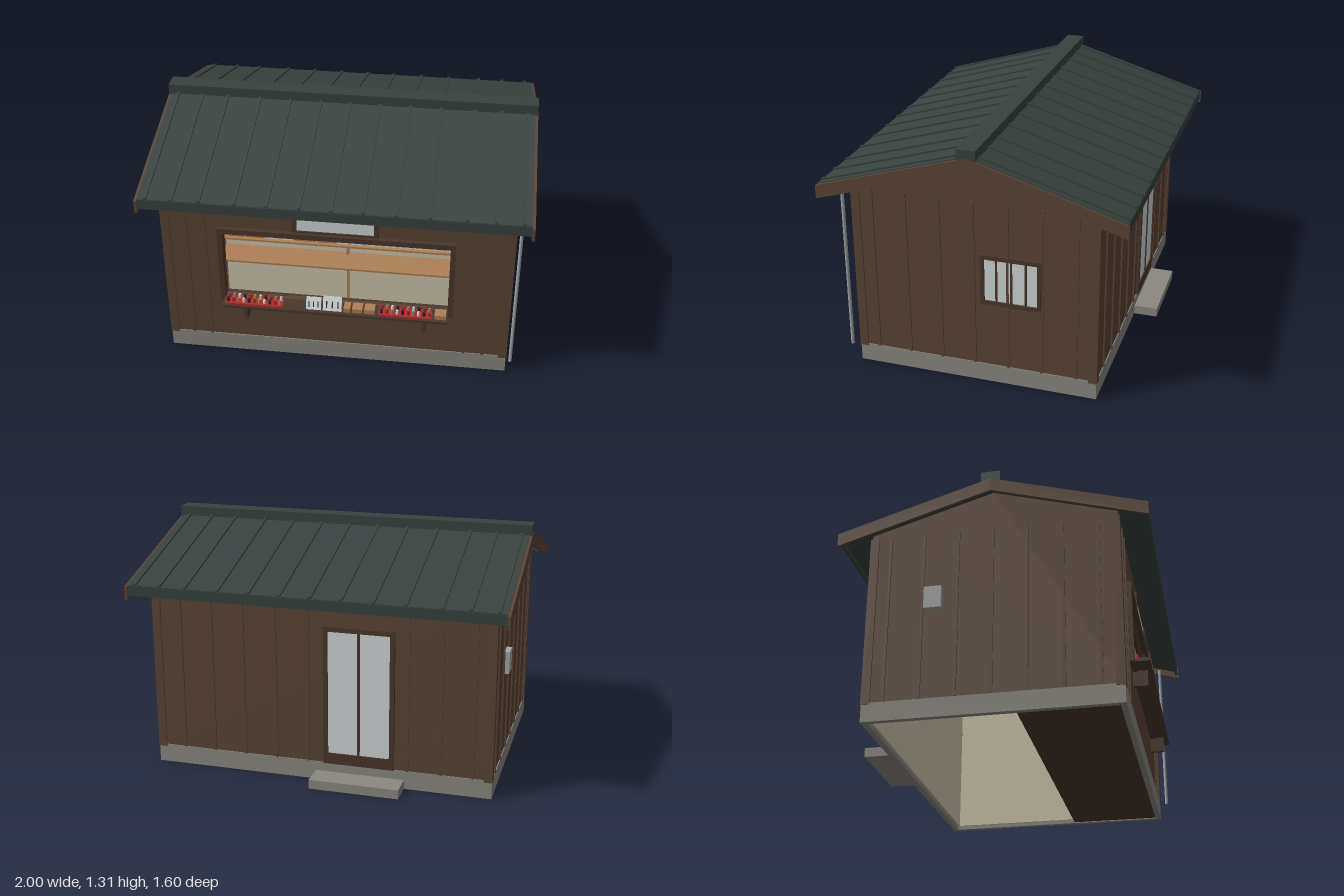
import * as THREE from 'three';

const paint = (name, color) => {
  const m = new THREE.MeshStandardMaterial({ color });
  m.name = name;
  return m;
};

export function createModel() {
  const wall = paint('wall brown', 0x5a4536), trim = paint('dark trim brown', 0x49372b);
  const roofing = paint('roof slate', 0x38423f), stone = paint('foundation grey', 0x8a8880);
  const cream = paint('interior cream', 0xd0c7ae), pale = paint('pale glass', 0xd2d8d9);
  const wood = paint('light wood', 0xad8155), red = paint('red', 0xb02b2b);
  const metal = paint('metal grey', 0xa2a5a6), black = paint('black', 0x26292c);
  const model = new THREE.Group();
  model.name = 'kiosk';

  const add = (name, geo, mat, parent = model) => {
    const mesh = new THREE.Mesh(geo, mat);
    mesh.name = name;
    parent.add(mesh);
    return mesh;
  };
  // Box given by its extents on each axis
  const box = (name, mat, x0, x1, y0, y1, z0, z1, parent) => {
    const geo = new THREE.BoxGeometry(x1 - x0, y1 - y0, z1 - z0);
    geo.translate((x0 + x1) / 2, (y0 + y1) / 2, (z0 + z1) / 2);
    return add(name, geo, mat, parent);
  };
  // Rectangular frame in the xy plane
  const rect = (P, x0, x1, y0, y1) => {
    const p = new P();
    p.moveTo(x0, y0); p.lineTo(x1, y0); p.lineTo(x1, y1); p.lineTo(x0, y1); p.closePath();
    return p;
  };
  const frame = (name, mat, outer, inner, z0, z1, parent) => {
    const s = rect(THREE.Shape, ...outer);
    s.holes.push(rect(THREE.Path, ...inner));
    const geo = new THREE.ExtrudeGeometry(s, { depth: z1 - z0, bevelEnabled: false });
    geo.translate(0, 0, z0);
    return add(name, geo, mat, parent);
  };
  // Profile of (z, y) points extruded from x0 to x1
  const alongX = (name, mat, pts, x0, x1) => {
    const s = new THREE.Shape(pts.map(p => new THREE.Vector2(...p)));
    const geo = new THREE.ExtrudeGeometry(s, { depth: x1 - x0, bevelEnabled: false });
    geo.rotateY(Math.PI / 2).translate(x0, 0, 0);
    return add(name, geo, mat);
  };

  // Foundation ring and shop floor
  const base = frame('foundation', stone, [-0.92, 0.92, -0.645, 0.645], [-0.89, 0.89, -0.615, 0.615], 0, 0.1);
  base.rotation.x = -Math.PI / 2;
  box('shopFloor', trim, -0.89, 0.89, 0.005, 0.02, 0.12, 0.615);
  box('backStep', stone, -0.46, 0.02, 0, 0.05, -0.775, -0.64);

  // Outer walls
  frame('frontWall', wall, [-0.915, 0.915, 0.1, 1.04], [-0.595, 0.595, 0.37, 0.775], 0.61, 0.64);
  box('backWall', wall, -0.915, 0.915, 0.1, 1.04, -0.64, -0.61);
  for (const s of [-1, 1]) {
    alongX('gableWall', wall, [[-0.64, 0.1], [0.64, 0.1], [0.64, 1.045], [0, 1.235], [-0.64, 1.045]],
      s > 0 ? 0.885 : -0.915, s > 0 ? 0.915 : -0.885);
    box('sideLining', cream, s * 0.882 - 0.004, s * 0.882 + 0.004, 0.02, 1, -0.61, 0.61);
  }
  box('backLining', cream, -0.88, 0.88, 0.02, 1, -0.61, -0.602);
  box('partition', cream, -0.88, 0.88, 0.01, 1, 0.12, 0.135);
  box('ceiling', cream, -0.88, 0.88, 0.99, 1, -0.61, 0.61);

  // Corner boards and battens
  const b = 0.007;
  for (const sx of [-1, 1]) {
    for (const sz of [-1, 1]) {
      const x = sx * 0.9, z = sz * 0.625;
      box('cornerBoard', wall, x - 0.023, x + 0.023, 0.09, 1.02, z - 0.023, z + 0.023);
    }
    for (let i = -3; i <= 3; i++)
      box('sideBatten', wall, sx * 0.918 - 0.005, sx * 0.918 + 0.005, 0.1, 1.012, i * 0.179 - b, i * 0.179 + b);
    for (const x of [0.69, 0.79])
      box('frontBatten', wall, sx * x - b, sx * x + b, 0.1, 1.02, 0.638, 0.648);
  }
  for (const x of [0.765, 0.59, 0.415, 0.237, 0.06, -0.475, -0.65, -0.82])
    box('backBatten', wall, x - b, x + b, 0.1, 1.02, -0.648, -0.638);

  // Roof: slabs, standing seams, ridge cap, fascias, barge boards
  const k = 0.3, E = 0.79;
  const chevron = (top, bottom, e) => [[-e, bottom - k * e], [0, bottom], [e, bottom - k * e],
    [e, top - k * e], [0, top], [-e, top - k * e]];
  alongX('roof', roofing, chevron(1.273, 1.238, E), -0.985, 0.985);
  for (const x of [0, 0.16, 0.325, 0.49, 0.67, 0.81, 0.945])
    for (const s of x ? [-1, 1] : [1])
      alongX('roofSeam', roofing, chevron(1.283, 1.265, E), s * x - 0.008, s * x + 0.008);
  box('ridgeCap', roofing, -0.998, 0.998, 1.25, 1.31, -0.05, 0.05);
  for (const s of [-1, 1]) {
    box('eaveFascia', roofing, -0.985, 0.985, 0.98, 1.034, s * 0.787 - 0.007, s * 0.787 + 0.007);
    alongX('bargeBoard', wall, chevron(1.268, 1.197, 0.8), s * 0.9925 - 0.0075, s * 0.9925 + 0.0075);
  }

  // Serving hatch: frame, counter, brackets, window above
  frame('hatchFrame', trim, [-0.622, 0.622, 0.35, 0.805], [-0.595, 0.595, 0.37, 0.775], 0.605, 0.665);
  box('counter', trim, -0.6, 0.6, 0.355, 0.37, 0.6, 0.74);
  for (const s of [-1, 1])
    box('counterBracket', trim, s * 0.475 - 0.009, s * 0.475 + 0.009, 0.27, 0.355, 0.64, 0.717);
  frame('transomFrame', trim, [-0.225, 0.225, 0.81, 0.957], [-0.2, 0.2, 0.82, 0.945], 0.64, 0.656);
  box('transomGlass', pale, -0.2, 0.2, 0.82, 0.945, 0.64, 0.648);

  // Barred side window, built facing +z and turned towards +x
  const win = new THREE.Group();
  win.name = 'sideWindow';
  frame('windowFrame', trim, [-0.158, 0.158, 0.46, 0.735], [-0.138, 0.138, 0.48, 0.712], 0, 0.018, win);
  box('windowGlass', pale, -0.138, 0.138, 0.48, 0.712, 0, 0.008, win);
  for (const x of [-0.075, 0.003, 0.078])
    box('windowBar', trim, x - 0.005, x + 0.005, 0.48, 0.712, 0, 0.015, win);
  win.rotation.y = Math.PI / 2;
  win.position.set(0.915, 0, -0.197);
  model.add(win);

  // Back glass door
  frame('doorFrame', trim, [-0.405, -0.025, 0.1, 0.855], [-0.38, -0.05, 0.16, 0.83], -0.655, -0.64);
  box('doorGlass', pale, -0.38, -0.05, 0.16, 0.83, -0.648, -0.64);
  box('doorMullion', trim, -0.222, -0.208, 0.16, 0.83, -0.654, -0.64);

  // Meter box and downpipe
  box('meterBox', metal, -0.945, -0.915, 0.58, 0.7, -0.345, -0.255);
  const pipe = add('downpipe', new THREE.CylinderGeometry(0.009, 0.009, 0.9, 12), metal);
  pipe.position.set(0.942, 0.553, 0.683);

  // Shelving
  const zs = 0.135, ze = 0.3;
  for (const y of [0.343, 0.495, 0.65]) box('shelf', wood, -0.72, 0.72, y - 0.005, y + 0.006, zs, ze);
  for (const x of [-0.72, 0, 0.72]) box('shelfPost', wood, x - 0.006, x + 0.006, 0.02, 0.73, zs, zs + (x ? 0.165 : 0.03));

  // Goods: w = wooden crate, r = red-lidded box, s = small tray, b = bottle
  const goods = (y, list) => {
    for (const [type, x0, x1] of list) {
      if (type === 'w') box('crate', wood, x0, x1, y, y + 0.072, 0.17, 0.28);
      if (type === 'r') {
        box('giftBox', pale, x0, x1, y, y + 0.046, 0.18, 0.28);
        box('giftLid', red, x0 - 0.002, x1 + 0.002, y + 0.046, y + 0.058, 0.178, 0.282);
      }
      if (type === 's') {
        box('smallBox', pale, x0, x1, y, y + 0.02, 0.2, 0.28);
        box('smallLid', wood, x0 - 0.002, x1 + 0.002, y + 0.02, y + 0.032, 0.198, 0.282);
      }
      if (type === 'b') {
        const n = add('bottle', new THREE.CylinderGeometry(0.008, 0.012, 0.09, 10), red);
        n.position.set((x0 + x1) / 2, y + 0.045, 0.25);
      }
    }
  };
  goods(0.656, [['s', -0.59, -0.53], ['w', -0.52, -0.428], ['r', -0.41, -0.305], ['s', -0.295, -0.23],
    ['s', -0.22, -0.155], ['r', -0.145, -0.05], ['b', -0.035, -0.01], ['w', 0, 0.128], ['r', 0.135, 0.245],
    ['r', 0.267, 0.36], ['r', 0.375, 0.48], ['s', 0.492, 0.55], ['b', 0.567, 0.593], ['b', -0.67, -0.645], ['b', -0.635, -0.61]]);
  goods(0.501, [['w', -0.66, -0.573], ['w', -0.56, -0.455], ['s', -0.445, -0.38], ['r', -0.37, -0.295],
    ['w', -0.283, -0.17], ['w', -0.155, -0.053], ['s', -0.043, 0.016], ['r', 0.032, 0.11], ['r', 0.122, 0.198],
    ['r', 0.21, 0.287], ['r', 0.3, 0.374], ['r', 0.387, 0.452], ['r', 0.465, 0.525], ['s', 0.535, 0.593]]);

  // Wall clock
  const face = add('clockFace', new THREE.CylinderGeometry(0.042, 0.042, 0.008, 24), pale);
  face.rotation.x = Math.PI / 2;
  face.position.set(0.515, 0.79, 0.14);
  add('clockRim', new THREE.TorusGeometry(0.042, 0.006, 8, 24), black).position.set(0.515, 0.79, 0.143);

  // Counter display: red trays with small jars, wooden trays, leaning cards
  for (const [x0, x1] of [[-0.585, -0.275], [0.235, 0.515]]) {
    box('redTray', red, x0, x1, 0.37, 0.38, 0.655, 0.73);
    const n = Math.round((x1 - x0) / 0.028);
    for (let i = 0; i < n; i++)
      for (let j = 0; j < 2; j++) {
        const jar = add('jar', new THREE.CylinderGeometry(0.007, 0.008, 0.024, 8), [red, black, pale, wood][(i * 3 + j) % 4]);
        jar.position.set(x0 + 0.015 + i * 0.028, 0.392, 0.675 + j * 0.035);
      }
  }
  for (const [x0, x1] of [[0.05, 0.085], [0.095, 0.15], [0.16, 0.215], [0.53, 0.59]])
    box('woodTray', wood, x0, x1, 0.37, 0.395, 0.66, 0.72);
  for (const [x, w, h] of [[-0.11, 0.08, 0.07], [-0.01, 0.1, 0.08]]) {
    const card = new THREE.Group();
    card.name = 'displayCard';
    box('card', pale, -w / 2, w / 2, 0, h, -0.003, 0.003, card);
    for (let i = 0; i < 3; i++)
      box('cardMark', black, (i - 1) * w * 0.3 - 0.003, (i - 1) * w * 0.3 + 0.003, h * 0.2, h * 0.65, 0.003, 0.004, card);
    card.rotation.x = -0.4;
    card.position.set(x, 0.372, 0.72);
    model.add(card);
  }
  return model;
}
